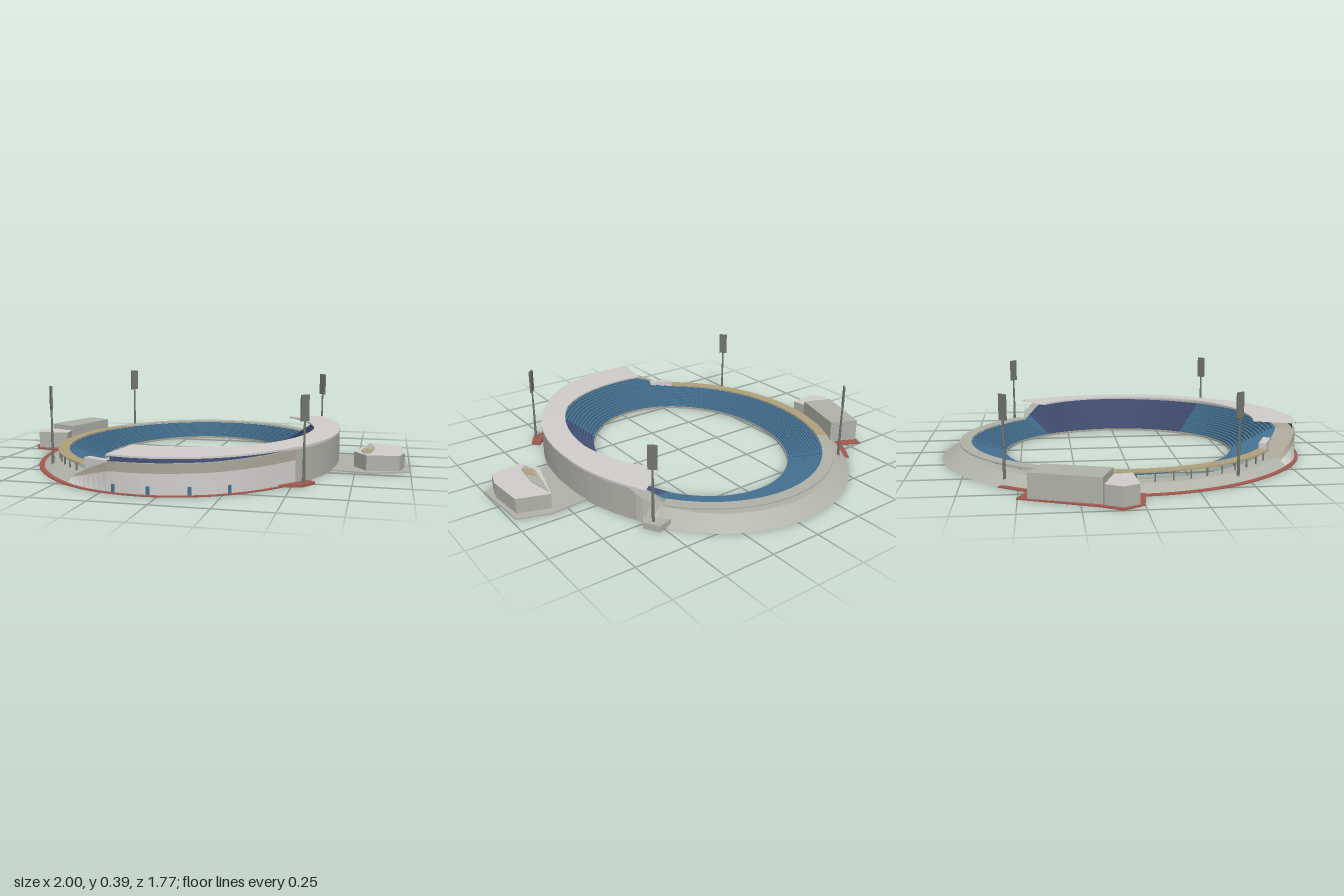
import * as THREE from 'three';

const mat = (name, color) => {
  const m = new THREE.MeshStandardMaterial({ color, side: THREE.DoubleSide });
  m.name = name;
  return m;
};
const M = {
  concrete: mat('concrete', 0xb0b1a8),
  beige: mat('beigeCladding', 0xaaa598),
  pale: mat('paleMetal', 0xd0cdcb),
  red: mat('redPaving', 0xa35a50),
  tan: mat('tanCanopy', 0xb0a17c),
  blue: mat('blueSeats', 0x447090),
  navy: mat('navySeats', 0x435276),
  steel: mat('steel', 0x73756f),
};
Object.values(M).forEach((m) => { m.flatShading = false; });

// Bowl ellipse: t in degrees (0 = left side, 90 = front), d = distance out from the pitch edge
const CX = -0.055, CZ = -0.01, RX = 0.465, RZ = 0.565;
const place = (t, d, y) => {
  const a = THREE.MathUtils.degToRad(t);
  return [CX + (RX + d) * Math.cos(a), y, CZ + (RZ + d) * Math.sin(a)];
};

// Piecewise-linear value around the bowl
const around = (...keys) => (t) => {
  const a = ((t % 360) + 360) % 360;
  let i = 0;
  while (i < keys.length - 2 && keys[i + 1][0] < a) i++;
  const [t0, v0] = keys[i], [t1, v1] = keys[i + 1];
  return v0 + ((v1 - v0) * (a - t0)) / (t1 - t0);
};
const wallTop = around([0, 0.152], [40, 0.15], [70, 0.136], [102, 0.13], [121, 0.035], [180, 0.03],
  [225, 0.045], [319, 0.045], [329, 0.15], [360, 0.152]);
const outer = around([0, 0.25], [45, 0.265], [70, 0.3], [90, 0.315], [110, 0.315], [135, 0.3],
  [225, 0.3], [270, 0.31], [300, 0.3], [330, 0.26], [360, 0.25]);
const bank = around([0, 0], [102, 0], [125, 0.06], [180, 0.07], [225, 0.08], [318, 0.09], [326, 0], [360, 0]);
const seatDepth = around([0, 0.2], [40, 0.2], [102, 0.22], [121, 0.17], [319, 0.165], [329, 0.2], [360, 0.2]);
const seatTop = around([0, 0.145], [40, 0.14], [102, 0.128], [121, 0.07], [319, 0.07], [329, 0.143], [360, 0.145]);
const roofInner = around([0, 0.13], [45, 0.145], [80, 0.105], [103, 0.11], [324, 0.06], [335, 0.09], [360, 0.13]);

// Sweeps a [d, y] profile around part of the bowl
function sweep(t0, t1, n, profile) {
  const pos = [];
  for (let i = 0; i < n; i++) {
    const ta = t0 + ((t1 - t0) * i) / n, tb = t0 + ((t1 - t0) * (i + 1)) / n;
    const A = profile(ta), B = profile(tb);
    for (let j = 0; j < A.length - 1; j++) {
      const a = place(ta, ...A[j]), b = place(ta, ...A[j + 1]);
      const c = place(tb, ...B[j + 1]), d = place(tb, ...B[j]);
      pos.push(...a, ...d, ...c, ...a, ...c, ...b);
    }
  }
  const g = new THREE.BufferGeometry();
  g.setAttribute('position', new THREE.Float32BufferAttribute(pos, 3));
  g.computeVertexNormals();
  return g;
}

// Upright prism from an [x, z] outline
function prism(points, y, h) {
  const s = new THREE.Shape(points.map(([x, z]) => new THREE.Vector2(x, -z)));
  const g = new THREE.ExtrudeGeometry(s, { depth: h, bevelEnabled: false });
  return g.rotateX(-Math.PI / 2).translate(0, y, 0);
}

export function createModel() {
  const root = new THREE.Group();
  root.name = 'stadium';
  const add = (name, geo, material, parent = root) => {
    const m = new THREE.Mesh(geo, material);
    m.name = name;
    parent.add(m);
    return m;
  };

  // Stepped seating
  const ROWS = 14;
  const terrace = (t) => {
    const p = [[0, 0], [0, 0.008]], D = seatDepth(t), H = seatTop(t);
    for (let k = 0; k < ROWS; k++) {
      const y = 0.008 + ((H - 0.008) * (k + 1)) / ROWS;
      p.push([(D * k) / ROWS, y], [(D * (k + 1)) / ROWS, y]);
    }
    return p;
  };
  add('blueSeating', sweep(42, 322, 90, terrace), M.blue);
  add('navySeating', sweep(-38, 42, 28, terrace), M.navy);
  add('pitchKerb', sweep(0, 360, 96, () => [[-0.005, 0], [-0.005, 0.01], [0.002, 0.01]]), M.beige);

  // Earth bank, concourse and tall side wall
  add('bankAndWall', sweep(121, 399, 120, (t) => [
    [seatDepth(t), wallTop(t)], [outer(t) - bank(t), wallTop(t)], [outer(t), 0]]), M.concrete);

  // Front facade in two bands, with the concourse above
  const lean = (t, f) => outer(t) - bank(t) * f;
  add('facadeLower', sweep(39, 121, 36, (t) => [
    [outer(t), 0], [lean(t, 0.7), wallTop(t) * 0.7]]), M.pale);
  add('facadeUpper', sweep(39, 121, 36, (t) => [
    [lean(t, 0.7), wallTop(t) * 0.7], [lean(t, 1), wallTop(t)], [seatDepth(t), wallTop(t)]]), M.beige);
  add('upperBackWall', sweep(40, 102, 24, (t) => [
    [outer(t) - 0.015, wallTop(t) - 0.01], [outer(t) - 0.015, 0.161]]), M.navy);
  for (const x of [-0.19, -0.04, 0.125, 0.28]) {
    const t = THREE.MathUtils.radToDeg(Math.acos((x - CX) / (RX + 0.305)));
    add('facadeDoor', sweep(t - 0.6, t + 0.6, 1, (u) => [
      [outer(u) + 0.003, 0.005], [outer(u) + 0.003, 0.04]]), M.blue);
  }

  // Ground ring
  add('greyBase', sweep(221, 399, 70, (t) => [[0.17, 0], [outer(t), 0]]), M.concrete);
  add('redBase', sweep(39, 221, 70, (t) => [
    [0.17, 0], [outer(t) + 0.015, 0], [outer(t) + 0.015, 0.005], [outer(t) - 0.01, 0.005]]), M.red);

  // Main roof over the tall stand
  add('mainRoof', sweep(-36, 102.5, 22, (t) => {
    const i = roofInner(t), o = outer(t) + 0.003;
    return [[i, 0.169], [o, 0.162], [o, 0.154], [i, 0.161], [i, 0.169]];
  }), M.pale);

  // Back rim and tan canopy with posts
  const shelf = (t) => [[seatDepth(t), 0.077], [0.222, 0.077], [0.222, 0.071], [seatDepth(t), 0.071], [seatDepth(t), 0.077]];
  add('backRim', sweep(213, 319, 40, shelf), M.concrete);
  add('tanCanopy', sweep(122, 213, 36, shelf), M.tan);
  for (let t = 126; t <= 212; t += 6) {
    const [x, , z] = place(t, 0.215, 0);
    add('canopyPost', new THREE.BoxGeometry(0.006, 0.05, 0.006).translate(x, 0.05, z), M.steel);
  }
  const kiosk = add('kiosk', new THREE.BoxGeometry(0.13, 0.06, 0.035), M.pale);
  kiosk.position.set(-0.34, 0.072, 0.66);
  kiosk.rotation.y = -0.45;

  // Buildings on the right side
  add('rightForecourt', prism([[-0.82, -0.505], [-0.72, -0.46], [-0.64, -0.57], [-0.6, -0.5], [-0.72, 0.02],
    [-0.83, 0.02], [-0.95, 0], [-1, -0.09], [-0.95, -0.18]], 0, 0.006), M.red);
  add('rightHall', prism([[-0.83, -0.46], [-0.7, -0.4], [-0.79, -0.11], [-0.935, -0.165]], 0, 0.115), M.concrete);
  add('rightEntrance', prism([[-0.94, -0.16], [-0.8, -0.11], [-0.79, -0.03], [-0.95, -0.02], [-0.98, -0.09]], 0, 0.09),
    [M.pale, M.concrete]);

  // Building on the left side
  add('leftForecourt', prism([[0.62, -0.18], [0.83, -0.2], [0.98, -0.15], [1, 0.16], [0.82, 0.23], [0.62, 0.2]],
    0, 0.006), M.concrete);
  add('leftPavilion', prism([[0.81, -0.16], [0.96, -0.11], [0.975, 0.08], [0.95, 0.17], [0.8, 0.19], [0.74, 0.1]],
    0, 0.078), [M.pale, M.concrete]);
  add('pavilionRoofStrip', prism([[0.81, -0.14], [0.835, -0.01], [0.82, 0.13], [0.79, 0.16], [0.77, 0.08]],
    0.078, 0.003), M.concrete);
  add('pavilionTrim', prism([[0.79, 0.03], [0.825, 0.06], [0.815, 0.13], [0.775, 0.1]], 0.081, 0.002), M.tan);

  // Floodlights facing the pitch
  for (const [x, z] of [[-0.59, -0.56], [-0.65, 0.45], [0.53, -0.55], [0.55, 0.54]]) {
    const light = new THREE.Group();
    light.name = 'floodlight';
    light.position.set(x, 0, z);
    light.rotation.y = Math.atan2(-x, -z);
    root.add(light);
    add('mast', new THREE.CylinderGeometry(0.004, 0.007, 0.3, 8).translate(0, 0.15, 0), M.steel, light);
    add('lampPanel', new THREE.BoxGeometry(0.042, 0.112, 0.008).translate(0, 0.335, 0), M.steel, light);
  }
  add('frontMastBase', prism([[0.45, 0.6], [0.56, 0.47], [0.595, 0.5], [0.55, 0.57]], 0, 0.012), M.red);
  add('backMastBase', prism([[0.46, -0.58], [0.53, -0.6], [0.57, -0.53], [0.54, -0.49]], 0, 0.03), M.concrete);

  return root;
}
